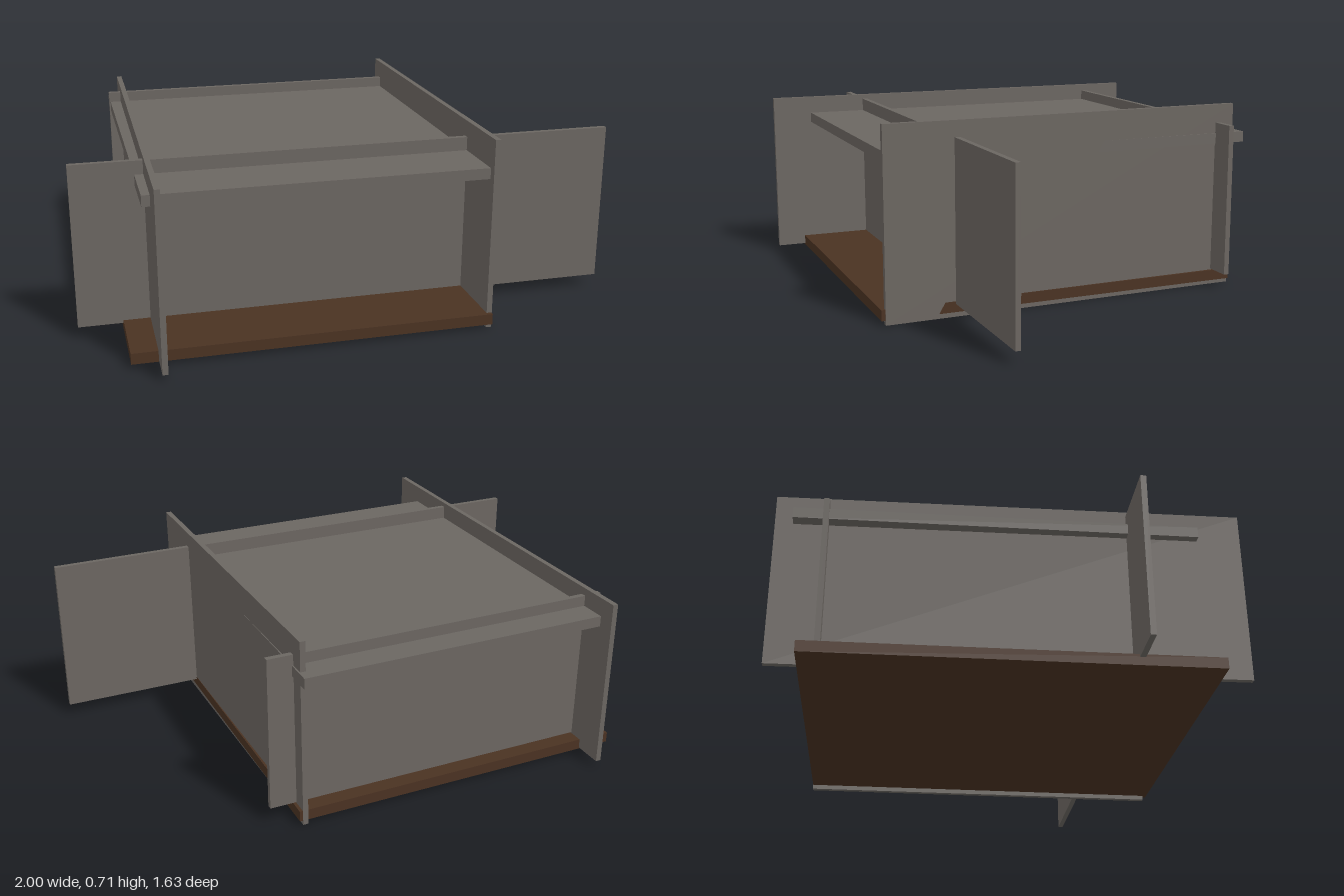
import * as THREE from 'three';

export function createModel() {
  const model = new THREE.Group();
  const greyBoard = new THREE.MeshStandardMaterial({ color: 0x6b6661 });
  greyBoard.name = 'grey board';
  const brownWood = new THREE.MeshStandardMaterial({ color: 0x4a3222 });
  brownWood.name = 'brown wood';

  // A board given by its extents on each axis, turned about its own centre
  function board(name, material, [x0, x1], [y0, y1], [z0, z1], turn = 0, lean = 0) {
    const mesh = new THREE.Mesh(new THREE.BoxGeometry(x1 - x0, y1 - y0, z1 - z0), material);
    mesh.name = name;
    mesh.position.set((x0 + x1) / 2, (y0 + y1) / 2, (z0 + z1) / 2);
    mesh.rotation.set(0, turn, lean);
    model.add(mesh);
  }

  // Floor and lid
  board('floor', brownWood, [-0.84, 0.458], [0.02, 0.06], [-0.707, 0.703]);
  board('lid', greyBoard, [-0.775, 0.455], [0.56, 0.6], [-0.755, 0.658]);

  // Front and back panels, running out past the side walls
  board('frontPanel', greyBoard, [-1, 1], [0.05, 0.65], [0.408, 0.428]);
  board('backPanel', greyBoard, [-0.78, 0.545], [0.064, 0.64], [-0.652, -0.632]);

  // Side walls, each set slightly askew
  board('rightWall', greyBoard, [-0.739, -0.719], [0.025, 0.668], [-0.818, 0.815], -0.0105);
  board('leftWall', greyBoard, [0.435, 0.455], [0.003, 0.71], [-0.708, 0.688], 0.01, -0.006);

  return model;
}
